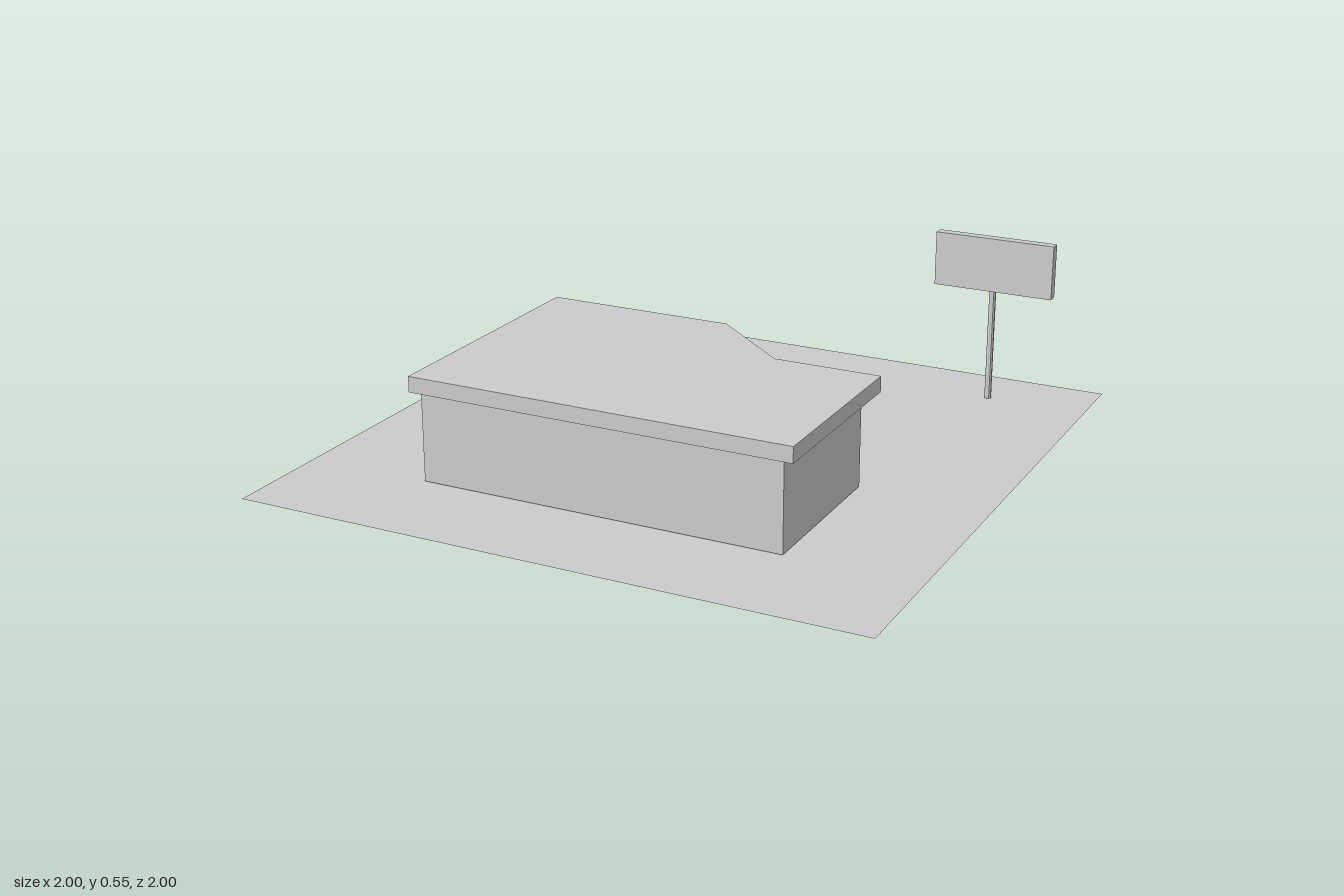
import * as THREE from 'three';

const material = new THREE.MeshStandardMaterial({ color: 0xcccccc, flatShading: true });
const groundMaterial = new THREE.MeshStandardMaterial({ color: 0xcccccc, side: THREE.DoubleSide });

function addMesh(parent, name, geometry, x = 0, y = 0, z = 0, mat = material) {
  const mesh = new THREE.Mesh(geometry, mat);
  mesh.name = name;
  mesh.position.set(x, y, z);
  parent.add(mesh);
  return mesh;
}

// Extrudes a floor plan of [x, z] corners upward
function planGeometry(plan, height) {
  const shape = new THREE.Shape(plan.map(([x, z]) => new THREE.Vector2(x, -z)));
  const geometry = new THREE.ExtrudeGeometry(shape, { depth: height, bevelEnabled: false });
  return geometry.rotateX(-Math.PI / 2);
}

export function createModel() {
  const model = new THREE.Group();

  // Flat lot
  addMesh(model, 'ground', new THREE.PlaneGeometry(2, 2).rotateX(-Math.PI / 2), 0, 0.002, 0, groundMaterial);

  // Building with a splayed corner at the back
  const building = new THREE.Group();
  building.name = 'building';
  model.add(building);
  const wallPlan = [
    [-0.59, 0.653], [0.585, 0.653], [0.585, 0.107],
    [0.248, 0.107], [-0.027, -0.127], [-0.59, -0.127],
  ];
  const roofPlan = [
    [-0.62, 0.672], [0.62, 0.672], [0.62, 0.045],
    [0.275, 0.045], [0, -0.19], [-0.62, -0.19],
  ];
  addMesh(building, 'walls', planGeometry(wallPlan, 0.284), 0, 0.006);
  addMesh(building, 'roof', planGeometry(roofPlan, 0.05), 0, 0.29);

  // Window bands above the sill on the splayed and rear walls
  for (const i of [3, 4]) {
    const [x0, z0] = wallPlan[i];
    const [x1, z1] = wallPlan[i + 1];
    const length = Math.hypot(x1 - x0, z1 - z0);
    const band = addMesh(building, 'windowBand', new THREE.BoxGeometry(length, 0.205, 0.005),
      (x0 + x1) / 2, 0.1875, (z0 + z1) / 2);
    band.rotation.y = Math.atan2(z0 - z1, x1 - x0);
  }

  // Roadside sign on a post
  const sign = new THREE.Group();
  sign.name = 'sign';
  sign.position.set(0.67, 0, -0.797);
  model.add(sign);
  addMesh(sign, 'signPost', new THREE.CylinderGeometry(0.011, 0.011, 0.376, 10), 0, 0.188);
  addMesh(sign, 'signBoard', new THREE.BoxGeometry(0.397, 0.178, 0.034), 0.003, 0.463);

  return model;
}
